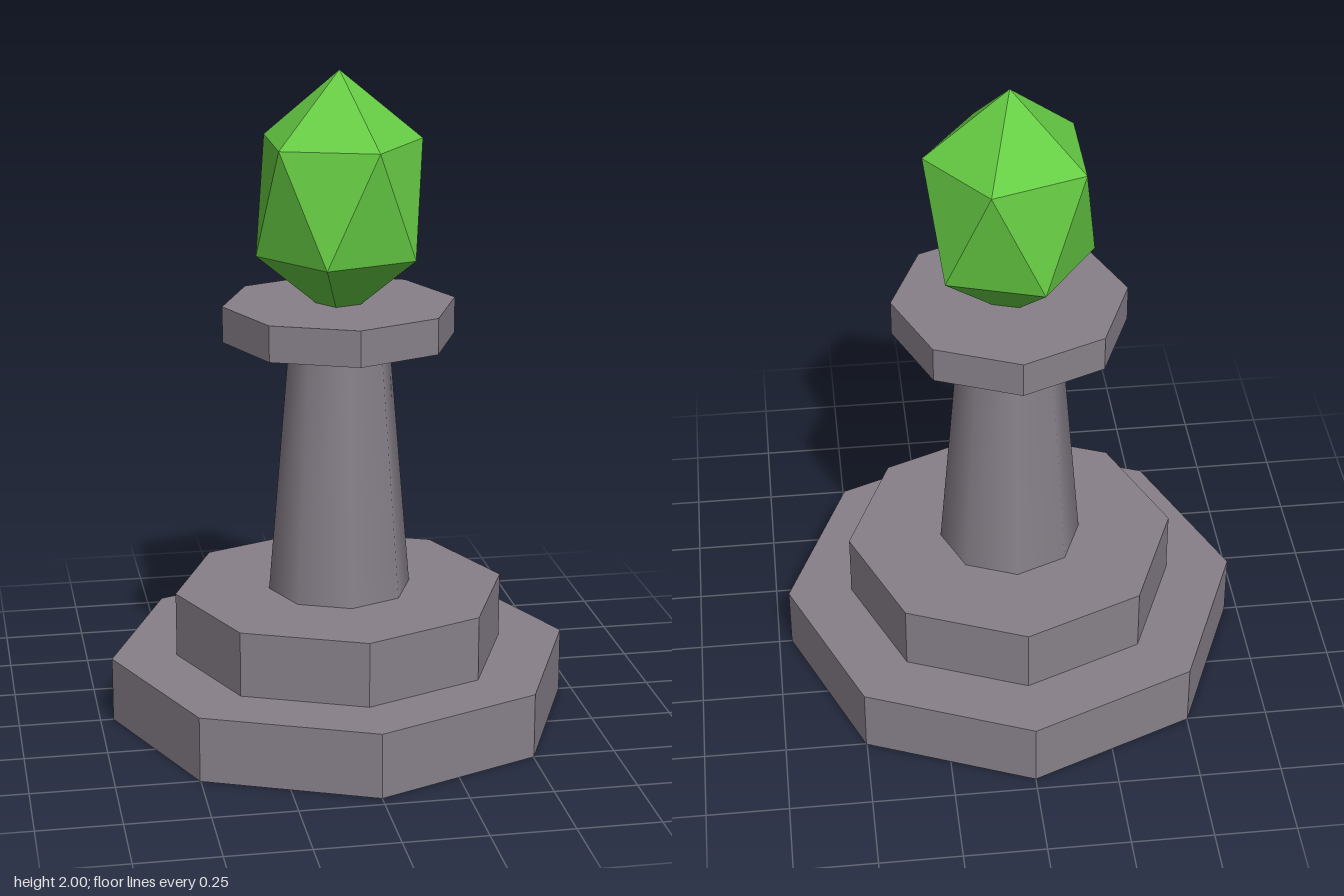
import * as THREE from 'three';

export function createModel() {
  const group = new THREE.Group();
  const stone = new THREE.MeshStandardMaterial({ name: 'stone', color: 0x878089 });
  const green = new THREE.MeshStandardMaterial({ name: 'crystalGreen', color: 0x66cc44 });

  // Eight-sided stone block between two heights; faceted or smooth sides
  function addBlock(name, rTop, rBottom, y0, y1, faceted = true) {
    let geo = new THREE.CylinderGeometry(rTop, rBottom, y1 - y0, 8);
    if (faceted) {
      geo = geo.toNonIndexed();
      geo.computeVertexNormals();
    }
    const mesh = new THREE.Mesh(geo, stone);
    mesh.name = name;
    mesh.position.y = (y0 + y1) / 2;
    group.add(mesh);
  }
  addBlock('lowerStep', 0.71, 0.71, 0, 0.2);
  addBlock('upperStep', 0.51, 0.51, 0.2, 0.4);
  addBlock('column', 0.153, 0.22, 0.4, 1.19, false);
  addBlock('capital', 0.355, 0.355, 1.19, 1.3);

  // Stretched icosahedron standing on its tip, sunk into the capital
  const tip = (y) => new THREE.Vector3(0, y, 0);
  const ring = (y, turn) => Array.from({ length: 5 }, (_, i) => {
    const a = turn + (i * Math.PI * 2) / 5;
    return new THREE.Vector3(0.252 * Math.cos(a), y, 0.252 * Math.sin(a));
  });
  const top = tip(2), bottom = tip(1.24);
  const upper = ring(1.79, 0), lower = ring(1.45, Math.PI / 5);
  const points = [];
  for (let i = 0; i < 5; i++) {
    const j = (i + 1) % 5;
    points.push(
      top, upper[j], upper[i],
      upper[i], upper[j], lower[i],
      lower[i], upper[j], lower[j],
      bottom, lower[i], lower[j],
    );
  }
  const crystalGeo = new THREE.BufferGeometry().setFromPoints(points);
  crystalGeo.computeVertexNormals();
  const crystal = new THREE.Mesh(crystalGeo, green);
  crystal.name = 'crystal';
  group.add(crystal);

  return group;
}
